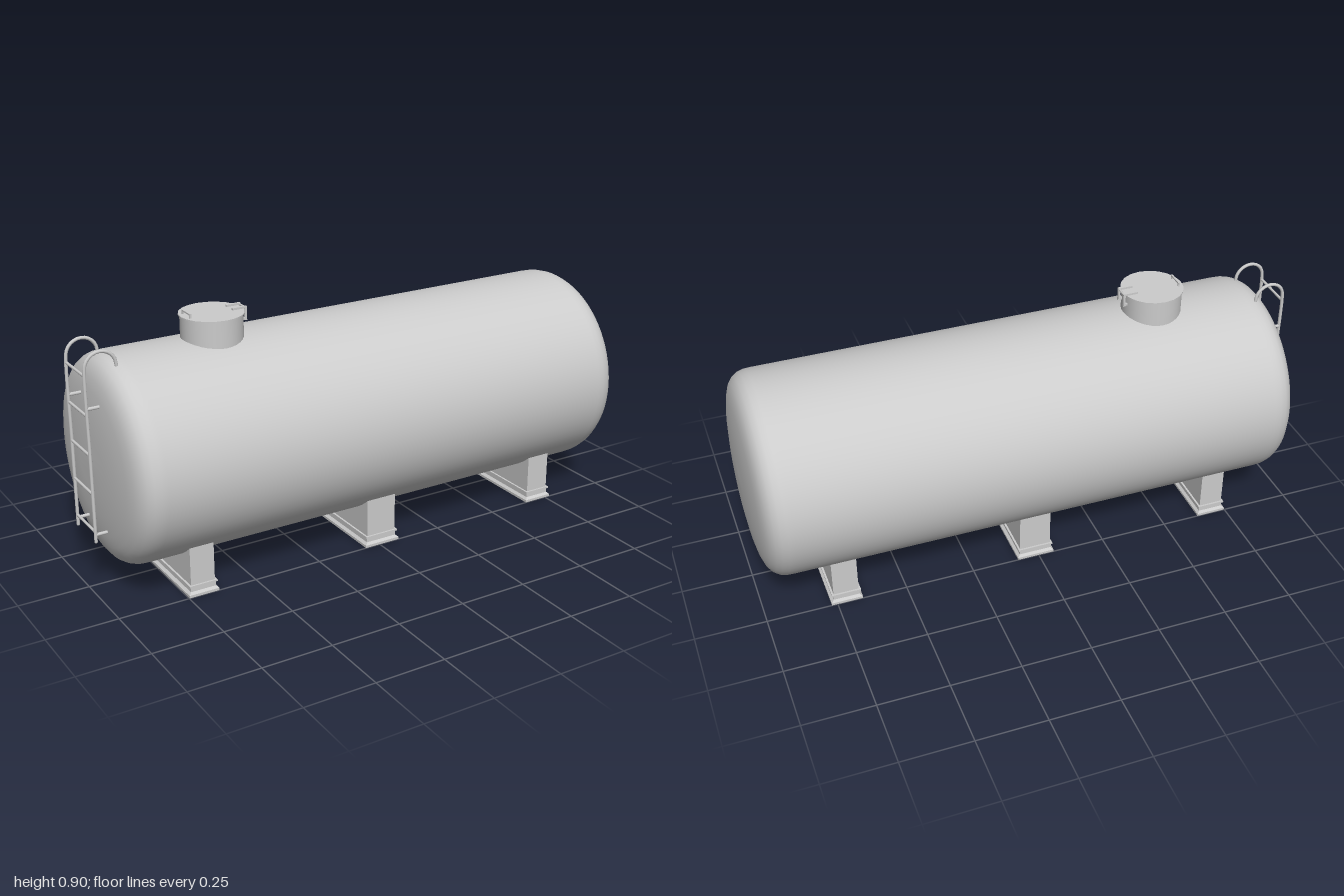
import * as THREE from 'three';

const mat = new THREE.MeshStandardMaterial({ color: 0xcccccc, side: THREE.DoubleSide });
const flatMat = new THREE.MeshStandardMaterial({ color: 0xcccccc, flatShading: true });
const AXIS_Y = 0.445, R = 0.36, MID_X = 0.017;

function add(parent, name, geo, x = 0, y = 0, z = 0, material = mat) {
  const m = new THREE.Mesh(geo, material);
  m.name = name;
  m.position.set(x, y, z);
  parent.add(m);
  return m;
}
const box = (parent, name, sx, sy, sz, x, y, z) =>
  add(parent, name, new THREE.BoxGeometry(sx, sy, sz), x, y, z);

// Round bar following a chain of straight and curved pieces
function bar(parent, name, curve, radius, segments) {
  return add(parent, name, new THREE.TubeGeometry(curve, segments, radius, 8));
}
const line = (a, b) => new THREE.LineCurve3(new THREE.Vector3(...a), new THREE.Vector3(...b));

function createTank() {
  // Shallow dished end with a rounded rim, mirrored about the middle
  const end = [[0, 0.982], [0.1, 0.98], [0.18, 0.976], [0.25, 0.968], [0.29, 0.96],
    [0.32, 0.949], [0.341, 0.933], [0.353, 0.914], [0.359, 0.892], [R, 0.87]];
  const top = end.map(([r, h]) => new THREE.Vector2(r, h));
  const bottom = end.map(([r, h]) => new THREE.Vector2(r, -h)).reverse();
  const profile = [...bottom.reverse(), ...top.reverse()];
  const tank = new THREE.Mesh(new THREE.LatheGeometry(profile, 72), mat);
  tank.name = 'tankShell';
  tank.rotation.z = -Math.PI / 2;
  tank.position.set(MID_X, AXIS_Y, 0);
  return tank;
}

function createSaddle(x, width) {
  const g = new THREE.Group();
  g.name = 'saddleSupport';
  g.position.x = x;
  // Upright web, cut to the curve of the tank
  const half = 0.24, r = R - 0.004, a = Math.asin(half / r);
  const s = new THREE.Shape();
  s.moveTo(-half, 0.03);
  s.lineTo(half, 0.03);
  s.lineTo(half, AXIS_Y - r * Math.cos(a));
  s.absarc(0, AXIS_Y, r, -Math.PI / 2 + a, -Math.PI / 2 - a, true);
  s.closePath();
  const geo = new THREE.ExtrudeGeometry(s, { depth: width, bevelEnabled: false, curveSegments: 24 });
  geo.translate(0, 0, -width / 2).rotateY(Math.PI / 2);
  add(g, 'saddleWeb', geo);
  // Stepped foot
  box(g, 'footCollar', width + 0.014, 0.006, 0.494, 0, 0.037, 0);
  box(g, 'footBlock', width + 0.004, 0.03, 0.484, 0, 0.02, 0);
  box(g, 'footPlate', width + 0.022, 0.009, 0.5, 0, 0.0045, 0);
  // Sloped skirt between plate and block
  const skirt = new THREE.CylinderGeometry(Math.SQRT1_2, Math.SQRT1_2, 0.008, 4, 1, true);
  skirt.rotateY(Math.PI / 4);
  const p = skirt.attributes.position;
  for (let i = 0; i < p.count; i++) {
    const grow = p.getY(i) < 0 ? 0.016 : 0;
    p.setX(i, Math.sign(p.getX(i)) * (width + 0.004 + grow) / 2);
    p.setZ(i, Math.sign(p.getZ(i)) * (0.484 + grow) / 2);
  }
  add(g, 'footSkirt', skirt, 0, 0.013, 0, flatMat);
  return g;
}

function createManway() {
  const g = new THREE.Group();
  g.name = 'manway';
  g.position.x = -0.51;
  add(g, 'manwayNeck', new THREE.CylinderGeometry(0.106, 0.106, 0.13, 32, 1, true), 0, 0.816, 0);
  add(g, 'manwayLid', new THREE.CylinderGeometry(0.111, 0.111, 0.005, 20), 0, 0.883, 0);
  // Hinge straps folding over the rim
  for (const z of [-0.022, 0.022]) {
    box(g, 'hingeStrap', 0.052, 0.007, 0.009, 0.092, 0.889, z);
    box(g, 'hingeLeg', 0.008, 0.048, 0.009, 0.115, 0.868, z);
    box(g, 'hingeTab', 0.014, 0.008, 0.009, 0.109, 0.85, z);
  }
  add(g, 'hingePin', new THREE.CylinderGeometry(0.004, 0.004, 0.055, 8).rotateX(Math.PI / 2), 0.115, 0.887, 0);
  // Lid handle
  box(g, 'handleGrip', 0.006, 0.005, 0.06, -0.09, 0.8975, 0);
  for (const z of [-0.027, 0.027]) box(g, 'handlePost', 0.006, 0.014, 0.006, -0.09, 0.89, z);
  return g;
}

function createLadder() {
  const g = new THREE.Group();
  g.name = 'ladder';
  const x = -0.994, z = 0.077, hoop = 0.054, rad = 0.006;
  for (const side of [-z, z]) {
    // Rail rises, hoops over and lands on top of the shell
    const pts = [new THREE.Vector3(x, 0.2, side), new THREE.Vector3(x, 0.5, side)];
    for (let i = 0; i <= 8; i++) {
      const t = Math.PI * (1 - i / 8);
      pts.push(new THREE.Vector3(x + hoop + hoop * Math.cos(t), 0.795 + hoop * Math.sin(t), side));
    }
    pts.push(new THREE.Vector3(x + hoop * 2 + 0.003, 0.775, side));
    bar(g, 'ladderRail', new THREE.CatmullRomCurve3(pts), rad, 60);
    add(g, 'railCap', new THREE.SphereGeometry(rad, 8, 6), x, 0.2, side);
    for (const y of [0.225, 0.665])
      bar(g, 'wallBracket', line([x, y, side], [-0.94, y, side]), rad, 1);
  }
  for (let i = 0; i < 5; i++) {
    const y = 0.235 + i * 0.135;
    bar(g, 'ladderRung', line([x, y, -z], [x, y, z]), 0.005, 1);
  }
  return g;
}

export function createModel() {
  const model = new THREE.Group();
  model.name = 'storageTank';
  model.add(createTank(), createManway(), createLadder());
  for (const [x, w] of [[-0.693, 0.088], [0.011, 0.115], [0.715, 0.09]]) model.add(createSaddle(x, w));
  return model;
}
